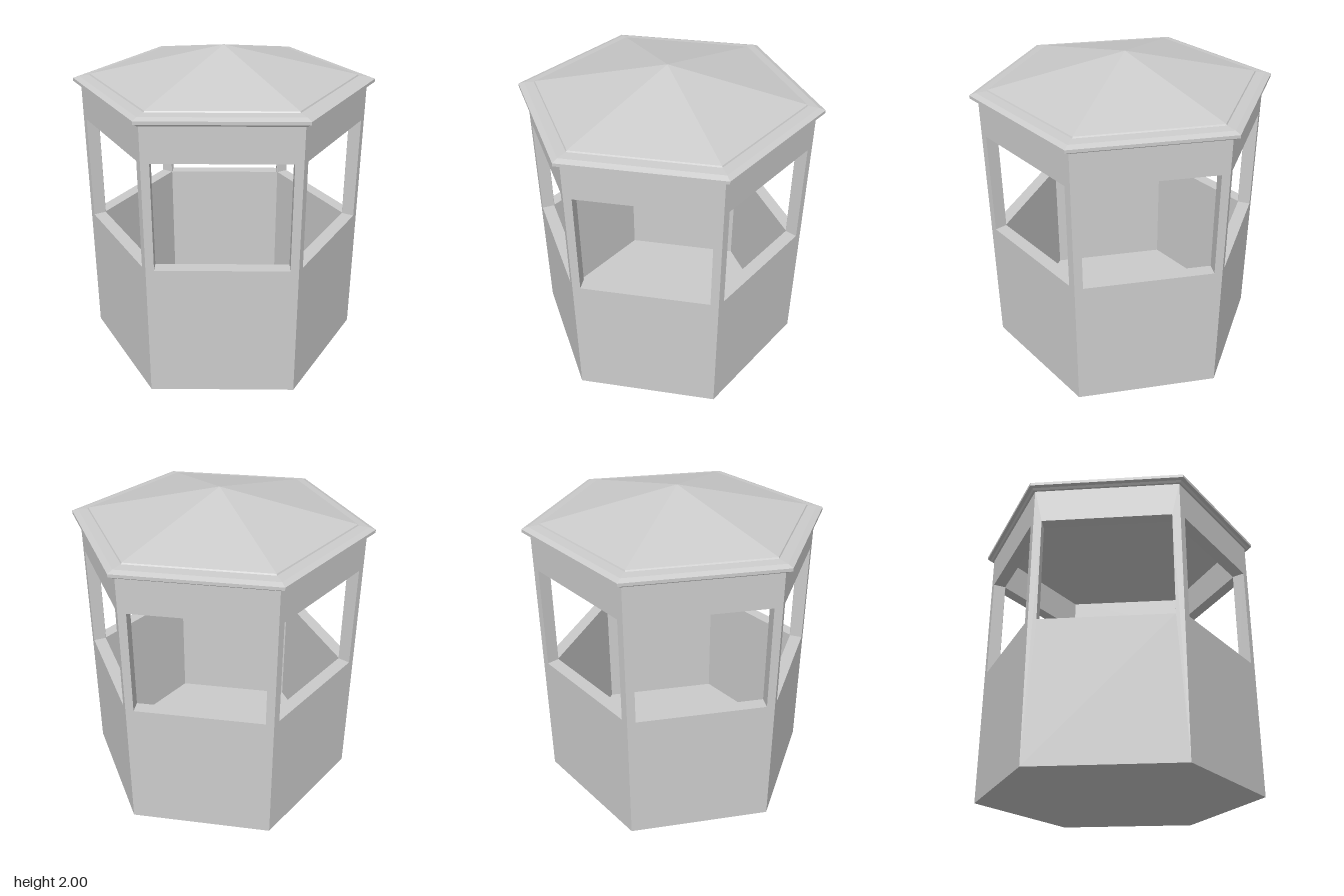
import * as THREE from 'three';

const SIDES = 6;
const RADIUS = 0.89;                            // wall corner radius
const APOTHEM = RADIUS * Math.cos(Math.PI / SIDES);
const HALF = RADIUS * Math.sin(Math.PI / SIDES); // half the width of one wall
const THICK = 0.08;
const WALL_TOP = 1.76;

const material = new THREE.MeshStandardMaterial({ color: 0xcccccc, flatShading: true });

function addMesh(parent, name, geometry) {
  const mesh = new THREE.Mesh(geometry, material);
  mesh.name = name;
  parent.add(mesh);
  return mesh;
}

// Rectangle outline from corner to corner
function rectangle(path, halfWidth, y0, y1) {
  path.moveTo(-halfWidth, y0);
  path.lineTo(halfWidth, y0);
  path.lineTo(halfWidth, y1);
  path.lineTo(-halfWidth, y1);
  path.closePath();
  return path;
}

// Wall panel with a window opening, its ends mitred to meet its neighbours
function wallGeometry() {
  const shape = rectangle(new THREE.Shape(), HALF, 0, WALL_TOP);
  shape.holes.push(rectangle(new THREE.Path(), 0.395, 0.86, 1.53));
  const geometry = new THREE.ExtrudeGeometry(shape, { depth: THICK, bevelEnabled: false });
  const p = geometry.attributes.position;
  const inset = THICK * Math.tan(Math.PI / SIDES);
  for (let i = 0; i < p.count; i++) {
    const x = p.getX(i);
    if (p.getZ(i) < THICK / 2 && Math.abs(x) > HALF - 0.01) p.setX(i, x - Math.sign(x) * inset);
  }
  geometry.translate(0, 0, APOTHEM - THICK);
  geometry.computeVertexNormals();
  return geometry;
}

export function createModel() {
  const model = new THREE.Group();
  model.name = 'hexagonalKiosk';

  // Six walls, corners pointing to front and back
  const walls = new THREE.Group();
  walls.name = 'walls';
  model.add(walls);
  const panel = wallGeometry();
  for (let i = 0; i < SIDES; i++) {
    addMesh(walls, 'windowWall', panel).rotation.y = ((i + 0.5) * Math.PI * 2) / SIDES;
  }

  // Floor slab inside the walls
  const floorRadius = (APOTHEM - THICK) / Math.cos(Math.PI / SIDES);
  addMesh(model, 'floor', new THREE.CylinderGeometry(floorRadius, floorRadius, 0.03, SIDES)).position.y = 0.015;

  // Hollow pyramid roof: sloped ceiling, eave lip, rim and raised top
  const profile = [
    [0, 1.95], [0.8, 1.75], [0.905, 1.75], [0.915, 1.762], [0.938, 1.768], [0.938, 1.787],
    [0.9, 1.8], [0.835, 1.806], [0.83, 1.814], [0, 2],
  ].map(([r, y]) => new THREE.Vector2(r, y));
  addMesh(model, 'roof', new THREE.LatheGeometry(profile, SIDES));

  return model;
}
